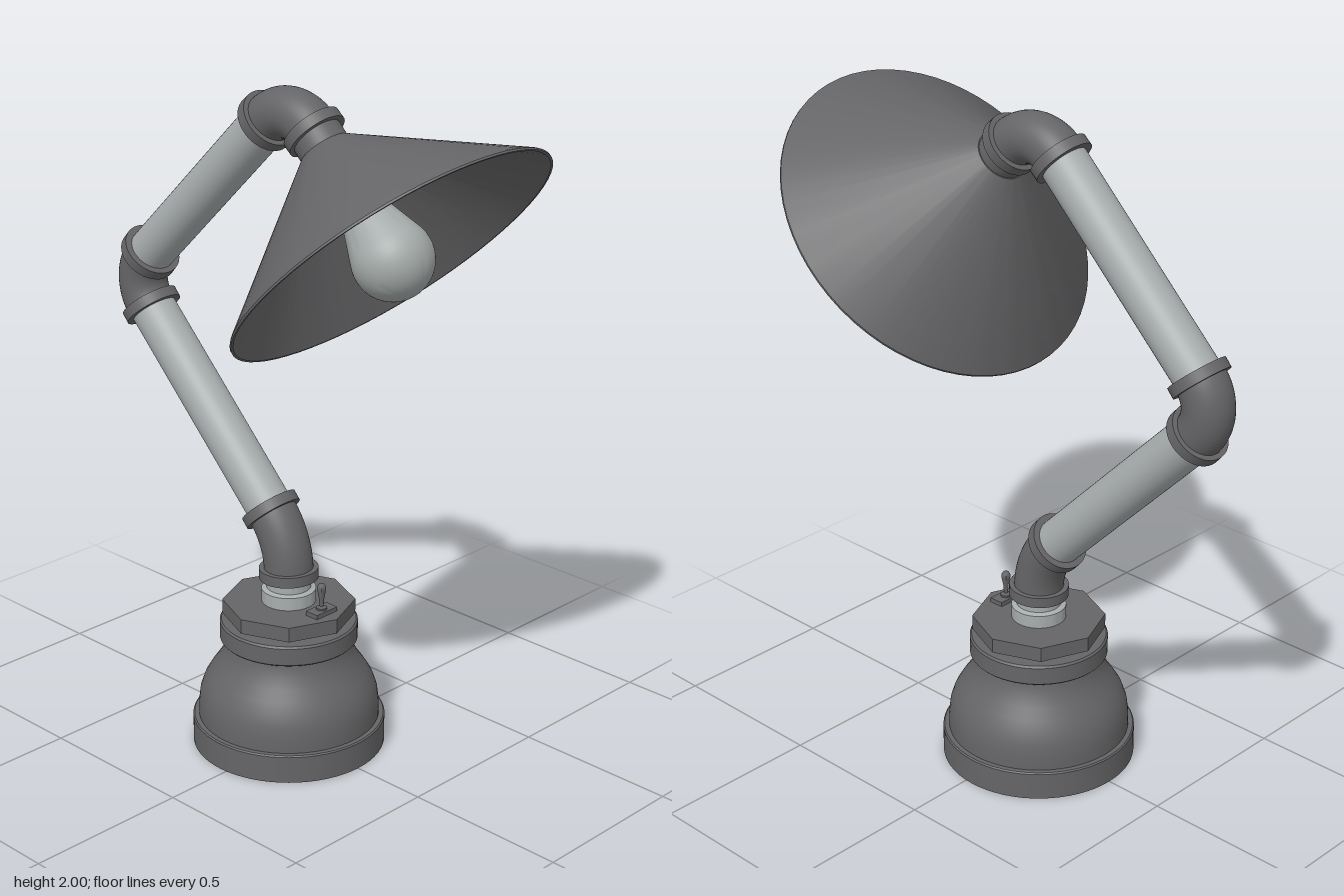
import * as THREE from 'three';
import { toCreasedNormals } from 'three/addons/utils/BufferGeometryUtils.js';

const V = (y, z) => new THREE.Vector3(0, y, z);
const UP = new THREE.Vector3(0, 1, 0);

export function createModel() {
  const iron = new THREE.MeshStandardMaterial({ color: 0x656567 });
  iron.name = 'dark iron';
  const steel = new THREE.MeshStandardMaterial({ color: 0xa8adad });
  steel.name = 'pale steel';
  const glass = new THREE.MeshStandardMaterial({ color: 0xa5abaa });
  glass.name = 'frosted glass';

  const model = new THREE.Group();
  model.name = 'pipeLamp';

  const add = (parent, name, geometry, material) => {
    const mesh = new THREE.Mesh(geometry, material);
    mesh.name = name;
    parent.add(mesh);
    return mesh;
  };
  // Turned part from [radius, height] pairs
  const lathe = (points, crease = 0.5) => toCreasedNormals(
    new THREE.LatheGeometry(points.map(([r, y]) => new THREE.Vector2(r, y)), 64), crease);
  // Straight cylinder between two points
  const rod = (parent, name, a, b, radius, material) => {
    const mesh = add(parent, name, new THREE.CylinderGeometry(radius, radius, a.distanceTo(b), 40), material);
    mesh.position.copy(a).add(b).multiplyScalar(0.5);
    mesh.quaternion.setFromUnitVectors(UP, b.clone().sub(a).normalize());
    return mesh;
  };

  // Base, standing slightly behind the origin
  const base = new THREE.Group();
  base.name = 'base';
  base.position.z = -0.025;
  model.add(base);
  add(base, 'bell', lathe([
    [0, 0], [0.288, 0], [0.288, 0.083], [0.284, 0.087], [0.27, 0.087], [0.27, 0.125],
    [0.265, 0.165], [0.253, 0.2], [0.234, 0.232], [0.213, 0.262], [0.196, 0.292],
    [0.187, 0.32], [0.185, 0.335], [0.2, 0.335], [0.205, 0.34], [0.205, 0.392],
    [0.2, 0.398], [0, 0.398],
  ]), iron);
  add(base, 'plugNeck', new THREE.CylinderGeometry(0.1, 0.1, 0.03, 40), iron).position.y = 0.405;
  add(base, 'octagonPlug',
    toCreasedNormals(new THREE.CylinderGeometry(0.197, 0.197, 0.045, 8), 0.4), iron).position.y = 0.433;
  add(base, 'nipple', lathe([
    [0, 0.45], [0.081, 0.45], [0.081, 0.495], [0.066, 0.5], [0.066, 0.54], [0, 0.54],
  ]), steel);

  // Toggle switch on the front of the plug
  const toggle = new THREE.Group();
  toggle.name = 'toggleSwitch';
  toggle.position.set(0, 0.455, 0.135);
  base.add(toggle);
  add(toggle, 'switchPlate', new THREE.BoxGeometry(0.085, 0.014, 0.045), iron).position.y = 0.007;
  add(toggle, 'switchLever', lathe([
    [0, 0], [0.016, 0.012], [0.016, 0.02], [0.006, 0.024], [0.008, 0.05], [0.013, 0.075],
    [0.013, 0.085], [0.009, 0.093], [0, 0.096],
  ], 1), iron);

  // Pipe elbows: a bent tube in the y-z plane with a collar at each end
  const elbow = (name, cy, cz, R, from, to) => {
    const group = new THREE.Group();
    group.name = name;
    model.add(group);
    const at = (deg) => {
      const a = THREE.MathUtils.degToRad(deg);
      return V(cy + R * Math.sin(a), cz + R * Math.cos(a));
    };
    const path = new THREE.CatmullRomCurve3(
      Array.from({ length: 13 }, (_, i) => at(from + (to - from) * i / 12)));
    add(group, 'bend', new THREE.TubeGeometry(path, 32, 0.073, 40), iron);
    const ends = [0, 1].map((t) => {
      const p = path.getPoint(t), d = path.getTangent(t).multiplyScalar(0.016);
      rod(group, 'collar', p.clone().sub(d), p.clone().add(d), 0.088, iron);
      return p;
    });
    return ends;
  };
  const low = elbow('lowerElbow', 0.545, -0.275, 0.25, 0, 45);
  const mid = elbow('middleElbow', 1.318, -0.522, 0.117, 225, 135);
  const top = elbow('upperElbow', 1.8, -0.015, 0.127, 135, 45);

  // Straight arms
  rod(model, 'lowerArm', low[1], mid[0], 0.069, steel);
  rod(model, 'upperArm', mid[1], top[0], 0.069, steel);

  // Lamp head: local +y points out of the shade, origin at the rim centre
  const head = new THREE.Group();
  head.name = 'lampHead';
  head.position.set(0, 1.594, 0.37);
  head.rotation.x = THREE.MathUtils.degToRad(135);
  model.add(head);
  rod(head, 'shadeNeck', new THREE.Vector3(0, -0.42, 0), new THREE.Vector3(0, -0.35, 0), 0.073, iron);
  add(head, 'shade', lathe([
    [0, -0.36], [0.076, -0.36], [0.497, -0.01], [0.5, -0.006], [0.5, 0], [0.493, 0],
    [0.076, -0.35], [0, -0.35],
  ]), iron);
  add(head, 'socket', lathe([
    [0, -0.352], [0.066, -0.352], [0.066, -0.29], [0.058, -0.285], [0.058, -0.25], [0, -0.25],
  ]), iron);

  // Bulb: neck flaring into a sphere
  const bulb = [[0.045, -0.26], [0.048, -0.22], [0.062, -0.17], [0.083, -0.11], [0.1, -0.062]];
  for (let i = 0; i <= 14; i++) {
    const a = -0.38 + (Math.PI / 2 + 0.38) * i / 14;
    bulb.push([Math.max(0, 0.115 * Math.cos(a)), 0.115 * Math.sin(a)]);
  }
  add(head, 'bulb', lathe(bulb, 1), glass);

  return model;
}
